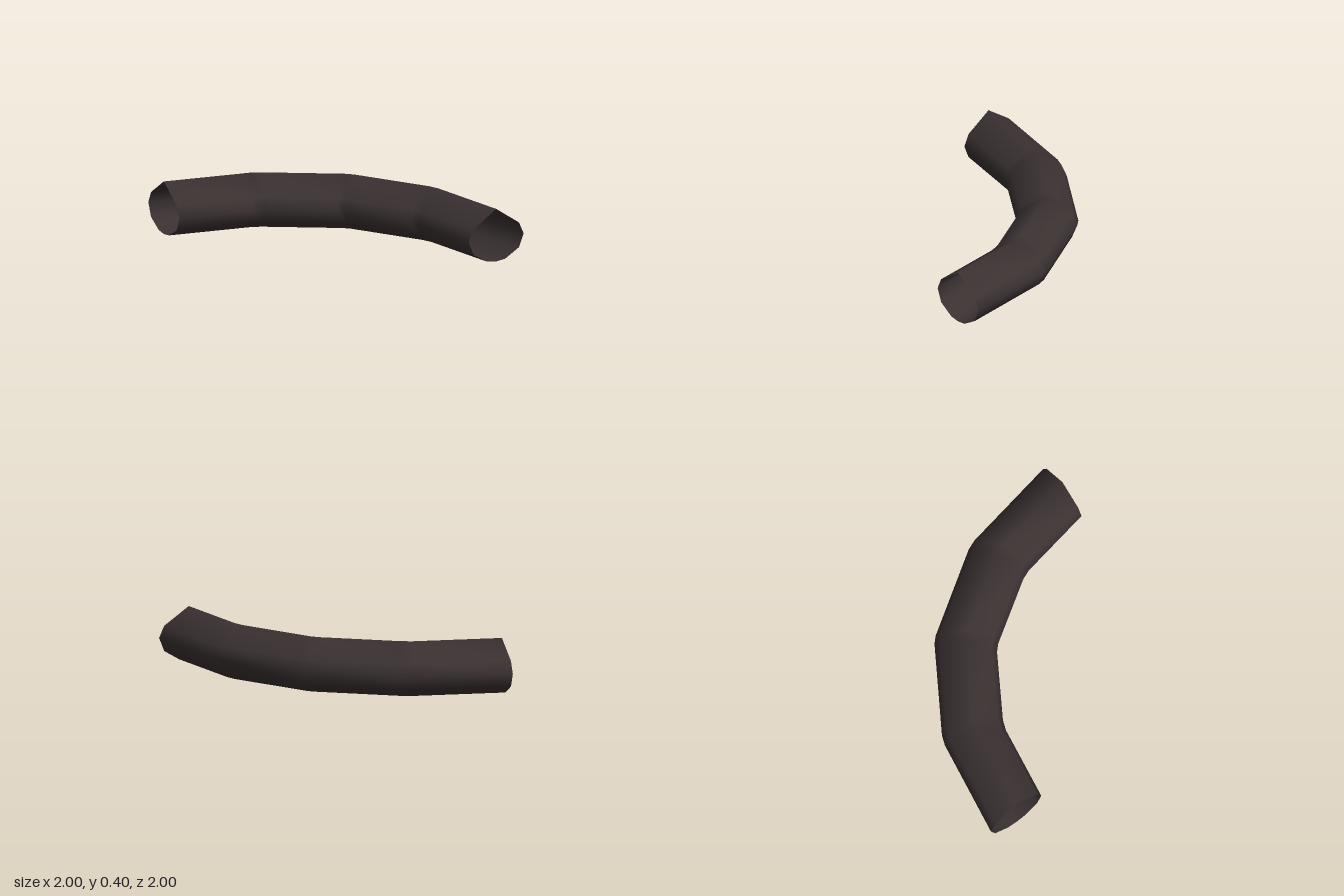
import * as THREE from 'three';

// Half of the teardrop cross-section, from top ridge to bottom: [sideways, height]
const half = [[0, 0.4], [0.19, 0.268], [0.229, 0.18], [0.19, 0.08], [0.075, 0.01], [0, 0]];
const profile = [...half, ...half.slice(1, -1).reverse().map(([u, y]) => [-u, y])];

// Rings along the first half of the bend: [x, z, heading in degrees]
const firstHalf = [[-1, -0.77, 0], [-0.355, -0.65, 22.5], [-0.28, -0.62, 22.5], [0.24, -0.285, 45]];
// The second half mirrors the first across the diagonal
const rings = [...firstHalf, ...firstHalf.map(([x, z, a]) => [-z, -x, 90 - a]).reverse()];

// Skin the rings into an open tube with shared, smooth vertices
function sweepTube() {
  const positions = [], index = [], n = profile.length;
  rings.forEach(([x, z, deg], i) => {
    const a = THREE.MathUtils.degToRad(deg);
    profile.forEach(([u, y], j) => {
      positions.push(x + u * Math.sin(a), y, z - u * Math.cos(a));
      if (i === rings.length - 1) return;
      const p = i * n + j, q = i * n + (j + 1) % n;
      index.push(p, p + n, q, q, p + n, q + n);
    });
  });
  const geometry = new THREE.BufferGeometry();
  geometry.setAttribute('position', new THREE.Float32BufferAttribute(positions, 3));
  geometry.setIndex(index);
  geometry.computeVertexNormals();
  return geometry;
}

export function createModel() {
  const group = new THREE.Group();
  group.name = 'curvedPipe';
  const darkBrown = new THREE.MeshStandardMaterial({ color: 0x3a3131, side: THREE.DoubleSide });
  darkBrown.name = 'dark brown';
  // Open-ended pipe wall
  const pipe = new THREE.Mesh(sweepTube(), darkBrown);
  pipe.name = 'pipeWall';
  group.add(pipe);
  return group;
}
